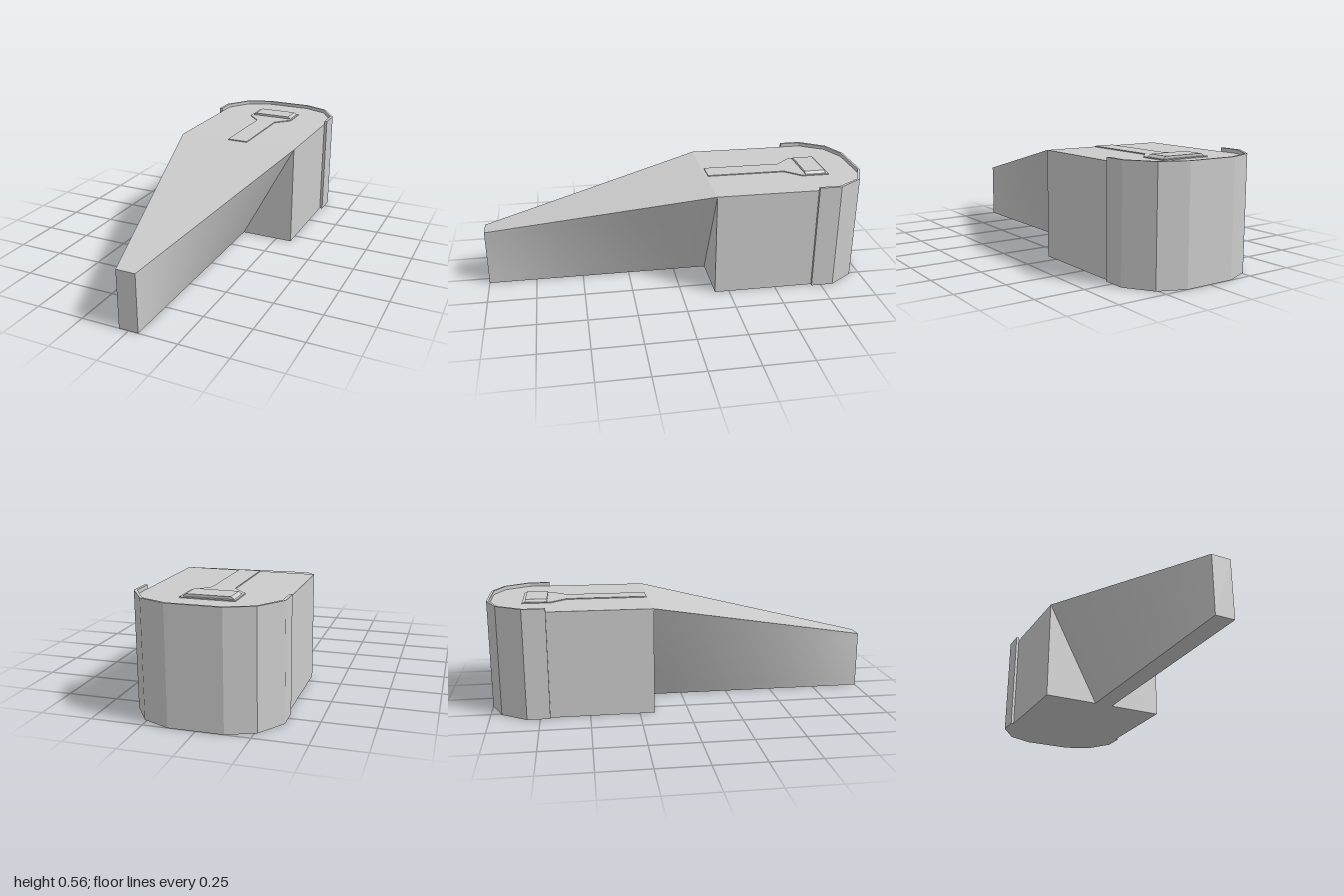
import * as THREE from 'three';

const material = new THREE.MeshStandardMaterial({ color: 0xcccccc, flatShading: true });
const smoothMaterial = new THREE.MeshStandardMaterial({ color: 0xcccccc });

const TOP = 0.543;      // body height
const FRONT = -0.175;   // z where the body meets the nose
const HALF = 0.336;     // half width of the body

function addMesh(group, name, geometry, mat = material) {
  const mesh = new THREE.Mesh(geometry, mat);
  mesh.name = name;
  group.add(mesh);
  return mesh;
}

// Upright prism over an outline of [x, z] points, from y0 to y1
function prism(points, y0, y1) {
  const shape = new THREE.Shape(points.map(([x, z]) => new THREE.Vector2(x, -z)));
  const geometry = new THREE.ExtrudeGeometry(shape, { depth: y1 - y0, bevelEnabled: false });
  return geometry.rotateX(-Math.PI / 2).translate(0, y0, 0);
}

// Four-cornered patch blended between its corners, counterclockwise from outside
function patch(corners, segments) {
  const [a, b, c, d] = corners.map((p) => new THREE.Vector3(...p));
  const geometry = new THREE.PlaneGeometry(1, 1, segments, segments);
  const { position, uv } = geometry.attributes;
  for (let i = 0; i < position.count; i++) {
    const low = a.clone().lerp(b, uv.getX(i));
    const high = d.clone().lerp(c, uv.getX(i));
    low.lerp(high, uv.getY(i));
    position.setXYZ(i, low.x, low.y, low.z);
  }
  geometry.computeVertexNormals();
  return geometry;
}

// Mirror the right half of an outline to the other side, keeping its order
const mirrored = (half) => [...half, ...half.map(([x, z]) => [-x, z]).reverse()];

export function createModel() {
  const model = new THREE.Group();
  model.name = 'wedge';

  // Body: flat front, faceted round back
  const innerBack = [[HALF, -0.81], [0.255, -0.935], [0.125, -0.988]];
  addMesh(model, 'body', prism(mirrored([[HALF, FRONT], ...innerBack]), 0, TOP));

  // Raised band wrapped around the back
  const outer = mirrored([[0.351, -0.7], [0.351, -0.815], [0.262, -0.945], [0.13, -1]]);
  const inner = mirrored([[HALF, -0.7], ...innerBack]);
  addMesh(model, 'backBand', prism([...outer, ...inner.reverse()], 0, 0.562));

  // Nose: tapers to a narrow tip, its sides twisting in to a narrow underside
  const nose = new THREE.Group();
  nose.name = 'nose';
  model.add(nose);
  const t = 0.05, h = 0.3;
  addMesh(nose, 'noseTop', patch([[-t, h, 1], [t, h, 1], [HALF, TOP, FRONT], [-HALF, TOP, FRONT]], 1));
  addMesh(nose, 'noseTip', patch([[-t, 0, 1], [t, 0, 1], [t, h, 1], [-t, h, 1]], 1));
  addMesh(nose, 'noseUnderside', patch([[-t, 0, FRONT], [t, 0, FRONT], [t, 0, 1], [-t, 0, 1]], 1));
  addMesh(nose, 'noseLeftSide',
    patch([[t, 0, 1], [t, 0, FRONT], [HALF, TOP, FRONT], [t, h, 1]], 10), smoothMaterial);
  addMesh(nose, 'noseRightSide',
    patch([[-t, 0, FRONT], [-t, 0, 1], [-t, h, 1], [-HALF, TOP, FRONT]], 10), smoothMaterial);

  // Thin flared strip on top of the body
  const strip = [[0.056, -0.185], [0.056, -0.6], [0.13, -0.68], [0.13, -0.825]];
  addMesh(model, 'topStrip', prism(mirrored(strip), TOP - 0.01, TOP + 0.005));

  // Low crossbar on the flared end, with sloping ends
  const crossbar = new THREE.BoxGeometry(0.25, 0.016, 0.11);
  const p = crossbar.attributes.position;
  for (let i = 0; i < p.count; i++) {
    if (p.getY(i) > 0) p.setX(i, Math.sign(p.getX(i)) * 0.105);
  }
  crossbar.computeVertexNormals();
  addMesh(model, 'crossbar', crossbar).position.set(0, TOP + 0.009, -0.755);

  return model;
}
